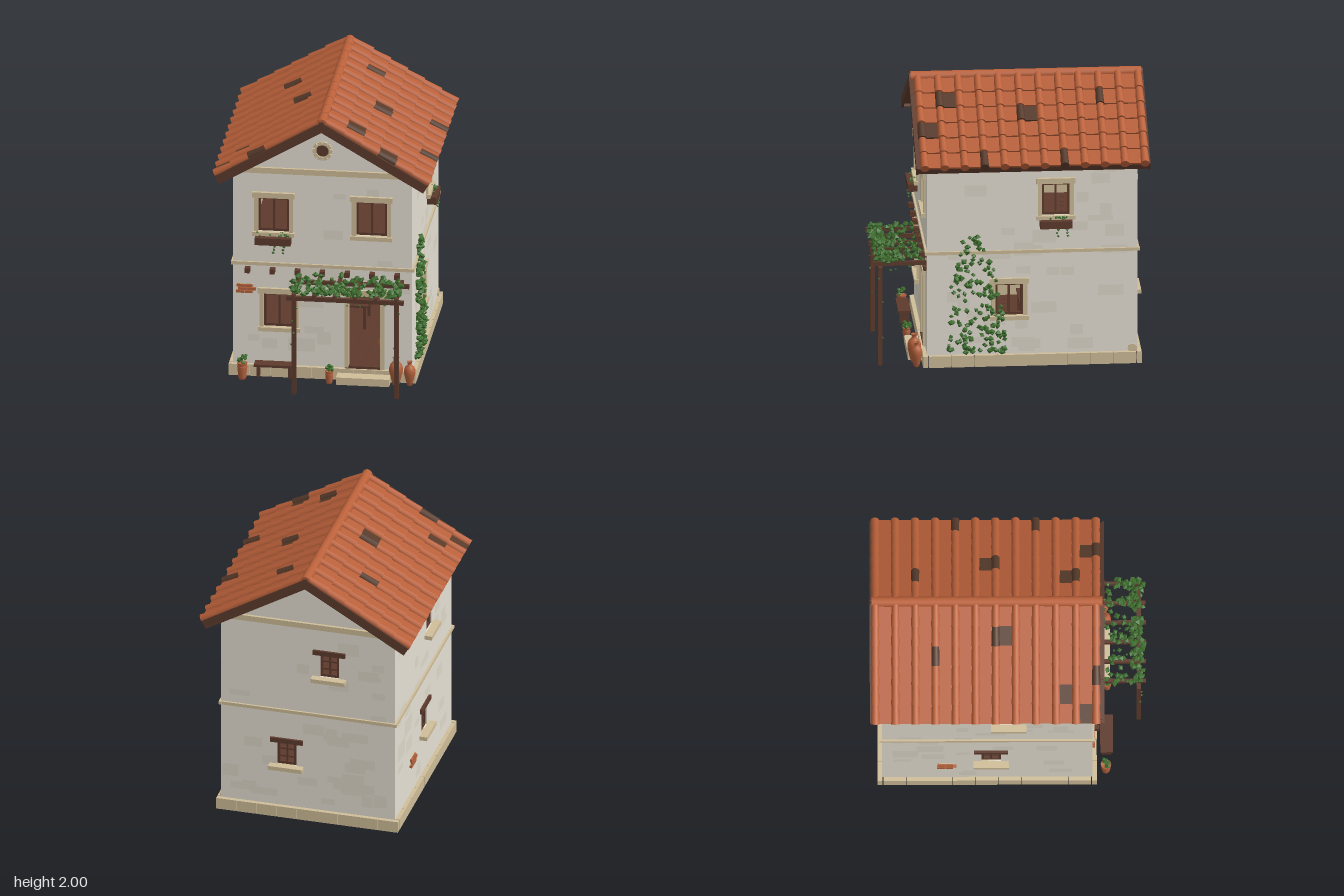
import * as THREE from 'three';
import { mergeGeometries } from 'three/addons/utils/BufferGeometryUtils.js';

const mat = (name, color, extra = {}) => Object.assign(new THREE.MeshStandardMaterial({ color, ...extra }), { name });
const plaster = mat('plaster', 0xe8e2d5), patchMat = mat('worn plaster', 0xdfd9cb);
const stone = mat('stone', 0xd0be99, { side: THREE.DoubleSide });
const wood = mat('wood', 0x5e3b2d), darkBase = mat('dark base', 0x4a2d24);
const tile = mat('roof tile', 0xbb613a), tile2 = mat('roof pan tile', 0xb65e39), burnt = mat('burnt tile', 0x563a2a);
const clay = mat('clay', 0xb5623d, { side: THREE.DoubleSide }), leafMat = mat('leaf', 0x407030, { flatShading: true });

let seed = 7;
const rnd = (a = 0, b = 1) => {
  seed = (seed * 16807) % 2147483647;
  return a + (b - a) * seed / 2147483647;
};
function add(parent, name, material, geo, x = 0, y = 0, z = 0) {
  const m = new THREE.Mesh(geo, material);
  m.name = name;
  m.position.set(x, y, z);
  parent.add(m);
  return m;
}
const box = (p, name, m, w, h, d, x, y, z) => add(p, name, m, new THREE.BoxGeometry(w, h, d), x, y, z);
// Box given by its limits
const span = (p, name, m, x0, x1, y0, y1, z0, z1) =>
  box(p, name, m, x1 - x0, y1 - y0, z1 - z0, (x0 + x1) / 2, (y0 + y1) / 2, (z0 + z1) / 2);
function group(parent, name, x = 0, y = 0, z = 0, ry = 0) {
  const g = new THREE.Group();
  g.name = name;
  g.position.set(x, y, z);
  g.rotation.y = ry;
  parent.add(g);
  return g;
}
function leaf(x, y, z, r) {
  const g = new THREE.OctahedronGeometry(r);
  g.scale(1, rnd(0.7, 1), rnd(0.7, 1)).rotateX(rnd(0, 3)).rotateY(rnd(0, 6));
  return g.translate(x, y, z);
}
const foliage = (p, name, list) => add(p, name, leafMat, mergeGeometries(list));

// Window or door fittings in wall space: a across, y up, z out of the wall
function fitOpening(g, o) {
  const { a, y0, y1, w, type } = o, h = y1 - y0, my = (y0 + y1) / 2, l = a - w / 2, r = a + w / 2;
  if (type === 'small') {
    box(g, 'smallLintel', wood, w + 0.1, 0.035, 0.05, a, y1 + 0.015, -0.007);
    box(g, 'smallSill', stone, w + 0.11, 0.03, 0.08, a, y0 - 0.015, 0.015);
  } else {
    const door = type === 'door', top = door ? 0.045 : 0.04;
    box(g, 'lintel', stone, w + (door ? 0.17 : 0.08), top, 0.07, a, y1 + top / 2, -0.01);
    for (const s of [-1, 1]) box(g, 'jamb', stone, 0.03, h, 0.06, a + s * (w / 2 + 0.013), my, -0.015);
    if (!door) box(g, 'sill', stone, w + 0.075, 0.03, 0.08, a, y0 - 0.015, -0.008);
  }
  if (type === 'door') {
    box(g, 'threshold', wood, w + 0.04, 0.018, 0.07, a, y0 + 0.009, -0.02);
    return;
  }
  // wooden frame with glazing bars
  const t = 0.018, z = -0.025;
  for (const x of [l + t / 2, r - t / 2]) box(g, 'frameSide', wood, t, h, 0.03, x, my, z);
  for (const y of [y0 + t / 2, y1 - t / 2]) box(g, 'frameRail', wood, w, t, 0.03, a, y, z);
  box(g, 'mullion', wood, 0.014, h, 0.025, a, my, z);
  if (type === 'small') for (const k of [1, 2]) box(g, 'bar', wood, w, 0.012, 0.02, a, y0 + h * k / 3, z);
  if (type === 'flower') {
    span(g, 'flowerBox', wood, a - w / 2 - 0.015, r + 0.015, y0 - 0.082, y0 - 0.028, 0.005, 0.075);
    const list = [];
    for (let i = 0; i < 14; i++) list.push(leaf(rnd(l, r), y0 - 0.02 + rnd(0, 0.02), rnd(0.02, 0.06), rnd(0.009, 0.014)));
    for (const x of [0.01, 0.08]) for (let i = 0; i < 3; i++)
      list.push(leaf(a + x + rnd(-0.006, 0.006), y0 - 0.09 - i * 0.024, 0.066, 0.013));
    foliage(g, 'boxFlowers', list);
  }
}

// Wall with openings, inner lining and faint worn patches
function buildWall(parent, name, pos, ry, outline, openings, a0, a1) {
  const g = group(parent, name, ...pos, ry);
  const shape = new THREE.Shape(outline.map(p => new THREE.Vector2(...p)));
  for (const { a, w, y0, y1 } of openings) {
    const l = a - w / 2, r = a + w / 2;
    shape.holes.push(new THREE.Path([[l, y0], [l, y1], [r, y1], [r, y0]].map(p => new THREE.Vector2(...p))));
  }
  add(g, 'wallShell', plaster, new THREE.ExtrudeGeometry(shape, { depth: 0.06, bevelEnabled: false }), 0, 0, -0.06);
  add(g, 'wallLining', stone, new THREE.ShapeGeometry(shape), 0, 0, -0.062);
  openings.forEach(o => fitOpening(g, o));
  for (let i = 0; i < 36; i++) {
    const w = rnd(0.08, 0.2), h = rnd(0.04, 0.1), x = rnd(a0 + w / 2, a1 - w / 2), y = rnd(0.14, 1.46);
    const hit = openings.some(o => Math.abs(x - o.a) < (w + o.w) / 2 && y + h / 2 > o.y0 && y - h / 2 < o.y1);
    if (!hit) add(g, 'wornPatch', patchMat, new THREE.PlaneGeometry(w, h), x, y, 0.001 + i * 0.00003);
  }
  return g;
}
// Patch of bare bricks
function brickPatch(g, a, y) {
  box(g, 'brickBed', stone, 0.11, 0.07, 0.006, a, y, 0.002);
  [[-0.012, 0.12], [0.008, 0.13], [-0.01, 0.115]].forEach(([dx, w], r) => {
    for (const s of [-1, 1]) box(g, 'bareBrick', clay, w / 2 - 0.004, 0.019, 0.024, a + dx + s * w / 4, y + (r - 1) * 0.023, 0.005);
  });
}
// Turned pot: profile of [radius, height] scaled to the wanted size
function pot(p, name, profile, x, y, z, r, h) {
  const pts = new THREE.SplineCurve(profile.map(q => new THREE.Vector2(q[0] * r, q[1] * h))).getPoints(14);
  return add(p, name, clay, new THREE.LatheGeometry(pts, 14), x, y, z);
}
const amphora = [[0.02, 0], [0.4, 0.01], [0.7, 0.25], [1, 0.55], [0.8, 0.76], [0.35, 0.86], [0.38, 0.95], [0.5, 1], [0.3, 0.97]];
const planter = [[0.02, 0], [0.65, 0.01], [0.8, 0.3], [0.95, 0.75], [0.85, 0.85], [1, 1], [0.75, 0.98], [0.02, 0.9]];

export function createModel() {
  const house = new THREE.Group();
  house.name = 'stoneHouse';

  // Walls
  const gable = [[-0.64, 0.08], [0.64, 0.08], [0.64, 1.552], [0, 1.927], [-0.64, 1.552]];
  const side = (a0, a1) => [[a0, 0.08], [a1, 0.08], [a1, 1.552], [a0, 1.552]];
  const small = (a, y0) => ({ type: 'small', a, w: 0.14, y0, y1: y0 + 0.18 });
  const front = buildWall(house, 'frontWall', [0, 0, 0.595], 0, gable, [
    { type: 'flower', a: -0.35, w: 0.225, y0: 1.1, y1: 1.36 }, { type: 'plain', a: 0.35, w: 0.225, y0: 1.1, y1: 1.36 },
    { type: 'plain', a: -0.31, w: 0.225, y0: 0.375, y1: 0.63 }, { type: 'door', a: 0.3, w: 0.23, y0: 0.085, y1: 0.64 }], -0.63, 0.63);
  buildWall(house, 'backWall', [0, 0, -0.9], Math.PI, gable, [small(0.157, 1.165), small(-0.157, 0.415)], -0.63, 0.63);
  const right = buildWall(house, 'leftSideWall', [0.64, 0, 0], Math.PI / 2, side(-0.536, 0.841), [
    { type: 'flower', a: 0.32, w: 0.2, y0: 1.12, y1: 1.36 }, { type: 'plain', a: -0.012, w: 0.2, y0: 0.375, y1: 0.615 }], -0.52, 0.83);
  const left = buildWall(house, 'rightSideWall', [-0.64, 0, 0], -Math.PI / 2, side(-0.841, 0.536),
    [small(0, 1.165), small(-0.125, 0.415)], -0.83, 0.52);
  brickPatch(front, -0.548, 0.658);
  brickPatch(left, -0.44, 0.33);
  add(right, 'bareStone', stone, new THREE.CylinderGeometry(0.034, 0.034, 0.01, 9).rotateX(Math.PI / 2), 0.865, 0.105, 0.003);

  // String course, gable bands and round vent
  for (const s of [-1, 1]) {
    box(house, 'sideBand', stone, 0.02, 0.024, 1.53, s * 0.645, 0.852, -0.1525);
    box(house, 'endBand', stone, 1.31, 0.024, 0.02, 0, 0.852, s > 0 ? 0.6 : -0.905);
    box(house, 'gableBand', stone, 1.14, 0.042, 0.03, 0, 1.568, s > 0 ? 0.6 : -0.905);
  }
  add(front, 'ventHole', wood, new THREE.CylinderGeometry(0.045, 0.045, 0.012, 16).rotateX(Math.PI / 2), 0, 1.735, 0.002);
  for (let i = 0; i < 10; i++) {
    const t = i / 10 * Math.PI * 2;
    box(front, 'ventStone', stone, 0.025, 0.032, 0.03, Math.cos(t) * 0.058, 1.735 + Math.sin(t) * 0.058, 0.005).rotation.z = t;
  }

  // Plinth of stone blocks around a raised dark base
  const plinth = group(house, 'plinth');
  span(plinth, 'base', darkBase, -0.638, 0.638, 0.06, 0.084, -0.898, 0.593);
  for (let i = 0; i < 9; i++) for (const z of [0.608, -0.913])
    box(plinth, 'endBlock', stone, 0.1465, 0.085, 0.034, (i - 4) * 0.149, 0.0425, z);
  for (let i = 0; i < 9; i++) for (const x of [-0.653, 0.653])
    box(plinth, 'sideBlock', stone, 0.034, 0.085, 0.1615, x, 0.0425, -0.1525 + (i - 4) * 0.164);
  span(house, 'doorStep', stone, 0.11, 0.49, 0, 0.055, 0.6, 0.72);

  // Rooms: plank floors, ceiling, table and jar
  const rooms = group(house, 'rooms');
  for (const y of [0.09, 0.85]) for (let i = 0; i < 12; i++)
    box(rooms, 'floorPlank', wood, 0.094, 0.02, 1.37, (i - 5.5) * 0.0965, y, -0.1525);
  box(rooms, 'ceiling', stone, 1.16, 0.02, 1.37, 0, 1.535, -0.1525);
  span(rooms, 'tableTop', wood, -0.2, 0.235, 0.265, 0.28, -0.4, -0.1);
  for (const x of [-0.18, 0.21]) for (const z of [-0.38, -0.12]) box(rooms, 'tableLeg', wood, 0.02, 0.17, 0.02, x, 0.185, z);
  pot(rooms, 'indoorJar', amphora, 0.43, 0.1, 0.4, 0.06, 0.18);

  // Roof: each slope is built along its own downhill x axis
  const roof = group(house, 'roof'), ang = 0.53, step = 0.141;
  const dark = { // row,column of burnt tiles per slope
    '1': { cover: ['1,2', '5,4', '2,6', '5,8', '1,10', '3,11'], pan: ['2,5', '1,9', '3,10'] },
    '-1': { cover: ['2,3', '1,6', '3,11'], pan: ['1,6', '4,9', '5,10'] } };
  const coverGeo = new THREE.CylinderGeometry(0.026, 0.032, 0.16, 10).rotateZ(Math.PI / 2);
  for (const s of [1, -1]) {
    const turn = group(roof, s > 0 ? 'leftSlope' : 'rightSlope', 0, 1.962, 0, s > 0 ? 0 : Math.PI);
    const slope = group(turn, 'slope');
    slope.rotation.z = -ang;
    span(slope, 'roofDeck', wood, 0, 0.865, -0.03, 0, -s * 0.1525 - 0.82, -s * 0.1525 + 0.82);
    for (const z of [0.672, -0.978]) span(slope, 'bargeBoard', wood, -0.02, 0.875, -0.052, 0.014, z * s - 0.008, z * s + 0.008);
    span(slope, 'fascia', wood, 0.855, 0.87, -0.05, 0.003, -s * 0.1525 - 0.82, -s * 0.1525 + 0.82);
    for (let i = 0; i < 6; i++) box(slope, 'rafterTail', wood, 0.11, 0.045, 0.022, 0.785, -0.05, s * (0.455 - i * 0.245));
    for (let row = 0; row < 6; row++) for (let col = 0; col < 12; col++) {
      const u = 0.095 + row * step, z = -0.947 + col * 0.1425, key = row + ',' + col;
      const c = add(slope, 'coverTile', dark[s].cover.includes(key) ? burnt : tile, coverGeo, u, 0.015, z * s);
      c.rotation.z = 0.04 + rnd(-0.01, 0.01);
      if (col === 11) continue;
      const p = box(slope, 'panTile', dark[s].pan.includes(key) ? burnt : tile2, 0.158, 0.016, 0.125, u, 0.01, (z + 0.071) * s);
      p.rotation.z = 0.08;
    }
  }
  for (let i = 0; i < 11; i++)
    add(roof, 'ridgeTile', tile, new THREE.CylinderGeometry(0.038, 0.036, 0.152, 12).rotateX(Math.PI / 2), 0, 1.962, 0.592 - i * 0.149);

  // Beam ends on the front
  for (let i = -3; i <= 3; i++) box(house, 'beamEnd', wood, 0.036, 0.036, 0.06, i * 0.1783, 0.808, 0.615);

  // Pergola with climbing plant
  const pergola = group(house, 'pergola'), rafters = [-0.165, -0.018, 0.129, 0.276, 0.423, 0.57], vine = [];
  for (const x of [-0.165, 0.57]) {
    box(pergola, 'post', wood, 0.032, 0.72, 0.032, x, 0.36, 0.925);
    for (let i = 0; i < 6; i++) vine.push(leaf(x + rnd(-0.018, 0.018), 0.2 + i * 0.09, 0.925 + rnd(-0.018, 0.018), 0.012));
  }
  span(pergola, 'frontBeam', wood, -0.22, 0.62, 0.715, 0.745, 0.91, 0.94);
  span(pergola, 'wallBeam', wood, -0.22, 0.62, 0.715, 0.745, 0.597, 0.62);
  for (const x of rafters) {
    span(pergola, 'rafter', wood, x - 0.012, x + 0.012, 0.745, 0.775, 0.597, 0.975);
    for (let i = 0; i < 12; i++) vine.push(leaf(x + rnd(-0.035, 0.035), rnd(0.77, 0.805), rnd(0.61, 0.96), rnd(0.019, 0.03)));
  }
  for (let i = 0; i < 75; i++) vine.push(leaf(rnd(-0.19, 0.6), rnd(0.77, 0.805), rnd(0.87, 0.955), rnd(0.019, 0.03)));
  for (let i = 0; i < 45; i++) vine.push(leaf(rnd(-0.17, 0.59), rnd(0.77, 0.8), rnd(0.62, 0.9), rnd(0.02, 0.03)));
  for (let i = 0; i < 26; i++) vine.push(leaf(rnd(-0.05, 0.52), rnd(0.675, 0.75), rnd(0.69, 0.9), rnd(0.009, 0.014)));
  foliage(pergola, 'pergolaVine', vine);

  // Climber on the side wall, narrowing to its top
  const climber = [];
  for (let i = 0; i < 170; i++) {
    const t = Math.pow(rnd(), 1.35), half = 0.22 * (1 - t * t * 0.7);
    climber.push(leaf(rnd(0.648, 0.672), 0.11 + t * 0.87, 0.26 + rnd(-half, half), rnd(0.018, 0.03)));
  }
  foliage(house, 'wallClimber', climber);

  // Bench
  const bench = group(house, 'bench');
  span(bench, 'benchSeat', wood, -0.475, -0.19, 0.115, 0.133, 0.65, 0.74);
  for (const x of [-0.445, -0.22]) span(bench, 'benchLeg', wood, x - 0.01, x + 0.01, 0.035, 0.116, 0.66, 0.73);

  // Pots and jars
  for (const [x, z, r, h] of [[-0.563, 0.69, 0.038, 0.125], [0.06, 0.7, 0.03, 0.095]]) {
    pot(house, 'planter', planter, x, 0, z, r, h);
    const list = [];
    for (let i = 0; i < 12; i++) list.push(leaf(x + rnd(-0.025, 0.025), h + rnd(0, 0.05), z + rnd(-0.025, 0.025), rnd(0.014, 0.021)));
    foliage(house, 'planterLeaves', list);
  }
  pot(house, 'tallJar', amphora, 0.535, 0, 0.68, 0.05, 0.215);
  pot(house, 'shortJar', amphora, 0.632, 0, 0.67, 0.042, 0.185);
  return house;
}
